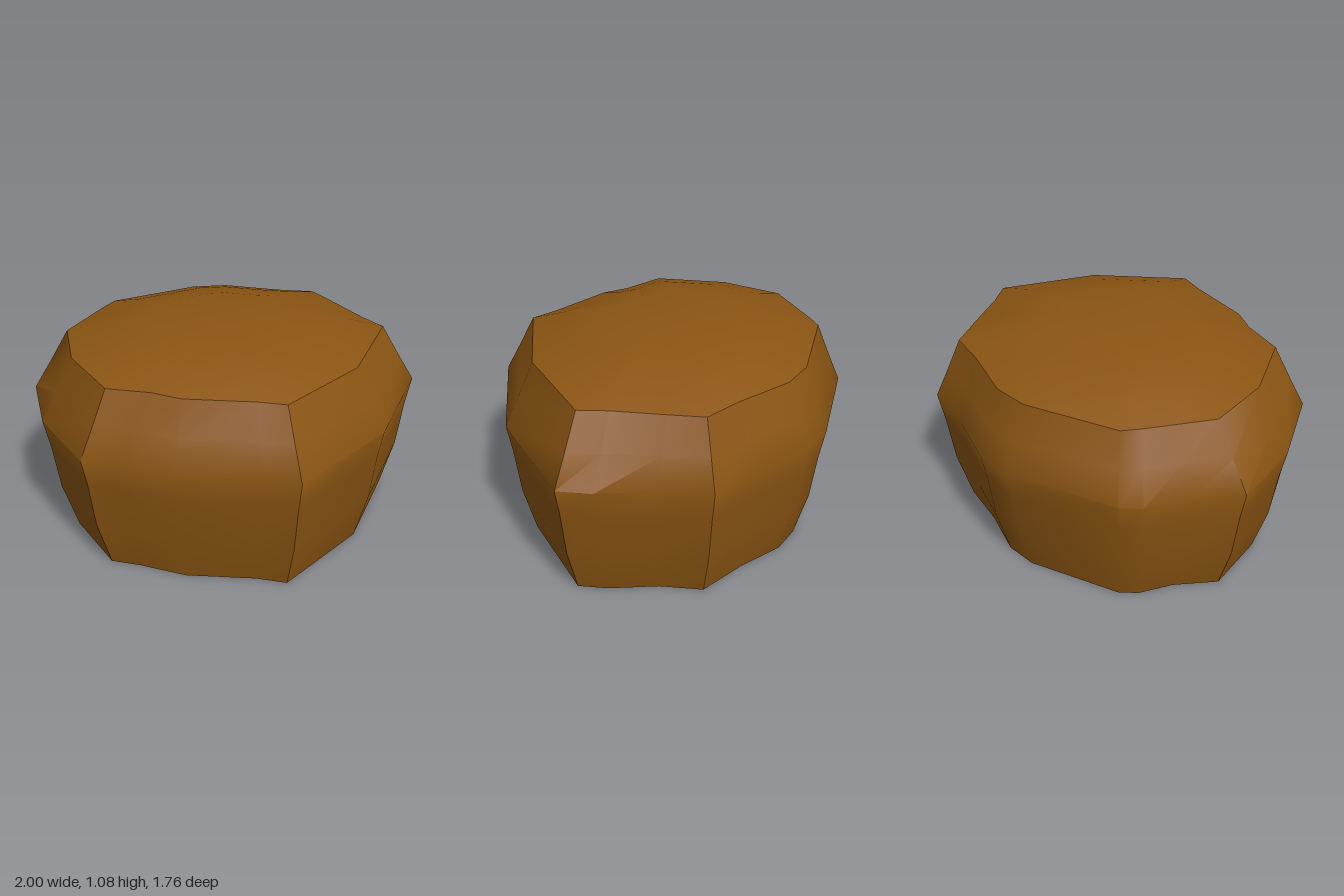
import * as THREE from 'three';
import { toCreasedNormals } from 'three/addons/utils/BufferGeometryUtils.js';

// Widest outline of the boulder as [x, z], counter-clockwise from above
const belly = [
  [-1, -0.29], [-0.97, 0.09], [-0.8, 0.5], [-0.64, 0.57], [-0.39, 0.71], [0, 0.81],
  [0.165, 0.88], [0.67, 0.5], [1, -0.03], [0.93, -0.19], [0.77, -0.43], [0.67, -0.66],
  [0.38, -0.75], [0.11, -0.87], [-0.08, -0.88], [-0.62, -0.73], [-0.71, -0.66], [-0.82, -0.48],
];
// Matching outline of the upper rim
const rim = [
  [-0.81, -0.27], [-0.8, 0.06], [-0.66, 0.41], [-0.45, 0.49], [-0.33, 0.57], [0, 0.66],
  [0.13, 0.71], [0.54, 0.41], [0.81, -0.03], [0.74, -0.16], [0.64, -0.4], [0.57, -0.56],
  [0.38, -0.62], [0.1, -0.74], [-0.08, -0.75], [-0.54, -0.62], [-0.6, -0.55], [-0.69, -0.43],
];
const RIM_Y = 0.97;

// Ring of points at height y, scaled about a centre
const ring = (outline, y, s, cx = 0, cz = 0) =>
  outline.map(([x, z]) => [cx + (x - cx) * s, y, cz + (z - cz) * s]);

// Skin a stack of closed rings, keeping sharp corners creased
function skin(rings, crease) {
  const n = rings[0].length;
  const index = [];
  for (let r = 0; r < rings.length - 1; r++) {
    for (let i = 0; i < n; i++) {
      const a = r * n + i;
      const b = r * n + ((i + 1) % n);
      index.push(a, b, b + n, a, b + n, a + n);
    }
  }
  const geometry = new THREE.BufferGeometry();
  geometry.setAttribute('position', new THREE.Float32BufferAttribute(rings.flat(2), 3));
  geometry.setIndex(index);
  return toCreasedNormals(geometry, crease);
}

export function createModel() {
  const group = new THREE.Group();
  group.name = 'boulder';
  const material = new THREE.MeshStandardMaterial({ color: 0x8b5513, side: THREE.DoubleSide });

  // Bulging side wall, open underneath
  const shoulder = belly.map(([x, z], i) => [
    x + (rim[i][0] - x) * 0.48,
    z + (rim[i][1] - z) * 0.48,
  ]);
  const wall = new THREE.Mesh(skin([
    ring(belly, 0, 0.86),
    ring(belly, 0.25, 0.935),
    ring(belly, 0.5, 0.97),
    ring(belly, 0.65, 1),
    ring(shoulder, 0.8, 1),
    ring(rim, RIM_Y, 1),
  ], 0.7), material);
  wall.name = 'sideWall';

  // Shallow domed top with a flat crown
  const dome = [[1, RIM_Y], [0.76, 1.03], [0.47, 1.08], [0.001, 1.08]];
  const cap = new THREE.Mesh(
    skin(dome.map(([s, y]) => ring(rim, y, s, -0.02, -0.03)), 0.7), material);
  cap.name = 'topCap';

  group.add(wall, cap);
  return group;
}
